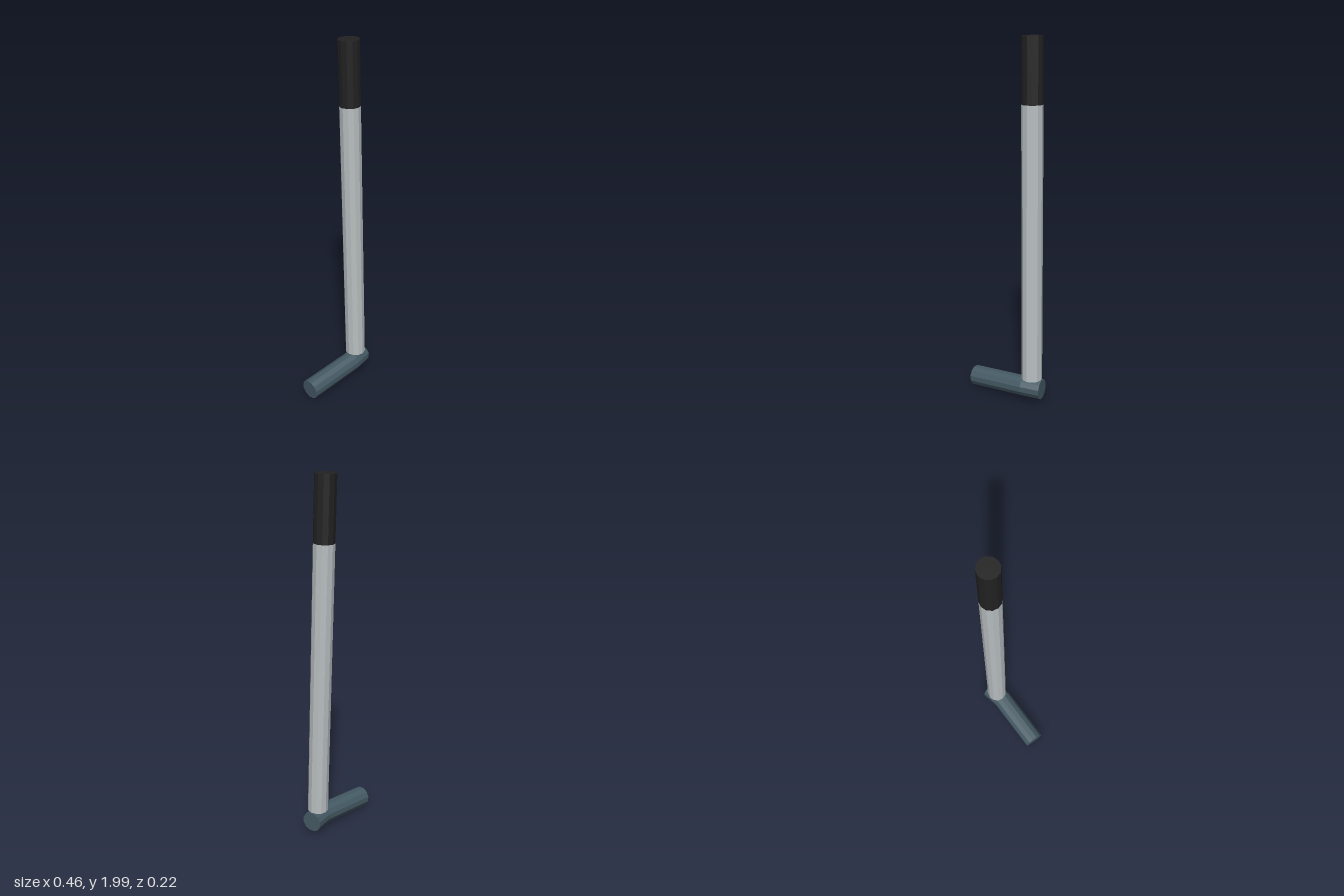
import * as THREE from 'three';

const RADIUS = 0.057, SIDES = 12;
const v = (x, y, z) => new THREE.Vector3(x, y, z);

// Faceted round bar through the given points, mitred at its bends and capped at both ends
function bar(name, points, color) {
  const dirs = points.slice(1).map((p, i) => p.clone().sub(points[i]).normalize());
  const ref = Math.abs(dirs[0].y) > 0.8 ? v(1, 0, 0) : v(0, 1, 0);
  const side = v(0, 0, 0).crossVectors(dirs[0], ref).normalize();
  const up = v(0, 0, 0).crossVectors(side, dirs[0]);
  const pos = [], index = [];

  let ring = [];
  for (let j = 0; j < SIDES; j++) {
    const a = ((j + 0.5) / SIDES) * Math.PI * 2;
    ring.push(points[0].clone()
      .addScaledVector(side, Math.cos(a) * RADIUS)
      .addScaledVector(up, Math.sin(a) * RADIUS));
  }
  const rings = [ring];
  dirs.forEach((d, i) => {
    // Slide the ring along the bar until it meets the mitre plane
    const n = d.clone().add(dirs[i + 1] || d).normalize();
    ring = ring.map(p => p.clone().addScaledVector(
      d, points[i + 1].clone().sub(p).dot(n) / d.dot(n)));
    rings.push(ring);
  });
  rings.flat().concat(points[0], points[points.length - 1])
    .forEach(p => pos.push(p.x, p.y, p.z));

  const last = (rings.length - 1) * SIDES, startCap = rings.length * SIDES;
  for (let j = 0; j < SIDES; j++) {
    const k = (j + 1) % SIDES;
    for (let r = 0; r < last; r += SIDES) {
      index.push(r + j, r + SIDES + k, r + k, r + j, r + SIDES + j, r + SIDES + k);
    }
    index.push(startCap, j, k, startCap + 1, last + k, last + j);
  }
  // side x up points against the bar's direction, so this order faces outward
  const geo = new THREE.BufferGeometry();
  geo.setAttribute('position', new THREE.Float32BufferAttribute(pos, 3));
  geo.setIndex(index);
  const flat = geo.toNonIndexed();
  flat.computeVertexNormals();
  const mesh = new THREE.Mesh(flat, new THREE.MeshStandardMaterial({ color, flatShading: true }));
  mesh.name = name;
  return mesh;
}

export function createModel() {
  const group = new THREE.Group();
  group.name = 'club';

  // Leaning shaft with a dark grip on top
  const foot = v(0.15, 0.144, -0.029), top = v(0.106, 1.999, -0.058);
  const gripStart = foot.clone().lerp(top, 0.815);
  group.add(bar('shaft', [foot, gripStart], 0xb8bec0));
  group.add(bar('grip', [gripStart, top], 0x222222));

  // Bent head under the shaft
  group.add(bar('head', [v(-0.219, 0.061, 0.056), v(0.11, 0.09, -0.011), v(0.207, 0.09, -0.051)], 0x455a64));
  return group;
}
